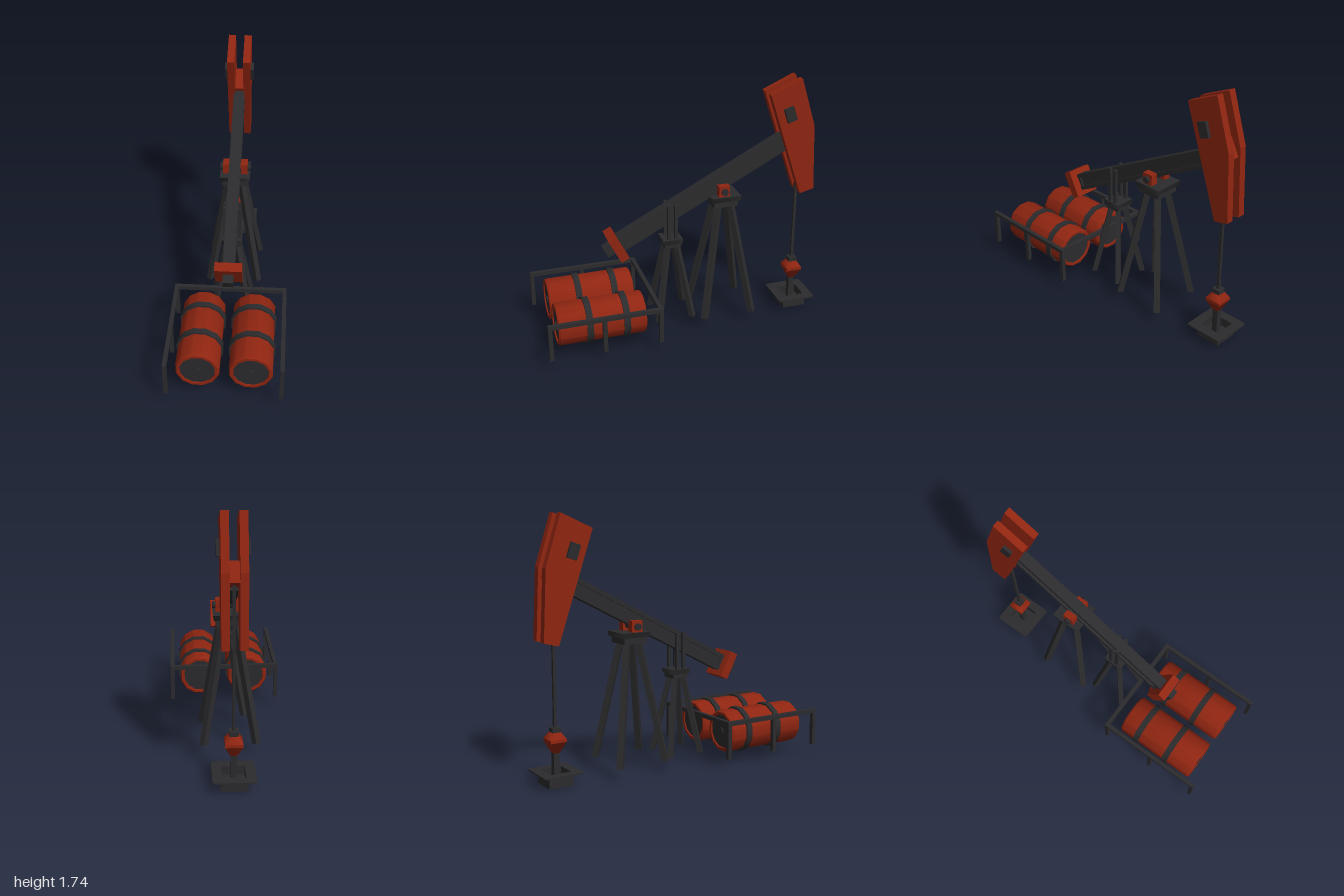
import * as THREE from 'three';
import { toCreasedNormals } from 'three/addons/utils/BufferGeometryUtils.js';

const red = new THREE.MeshStandardMaterial({ color: 0x8f2511 });
const dark = new THREE.MeshStandardMaterial({ color: 0x2b2b2d });

function add(parent, name, geo, mat, x = 0, y = 0, z = 0) {
  const mesh = new THREE.Mesh(geo, mat);
  mesh.name = name;
  mesh.position.set(x, y, z);
  parent.add(mesh);
  return mesh;
}

function group(parent, name, x = 0, y = 0, z = 0) {
  const g = new THREE.Group();
  g.name = name;
  g.position.set(x, y, z);
  parent.add(g);
  return g;
}

const box = (w, h, d) => new THREE.BoxGeometry(w, h, d);

// Square frustum with half widths at top and bottom
function frustum(top, bottom, h) {
  const k = Math.SQRT2;
  return new THREE.CylinderGeometry(top * k, bottom * k, h, 4).rotateY(Math.PI / 4).toNonIndexed();
}

// Post turned 45 degrees and sheared, so that both ends stay level
function leanLeg(x0, z0, x1, z1, y0, y1, w) {
  const geo = box(w, y1 - y0, w).rotateY(Math.PI / 4);
  const p = geo.attributes.position;
  for (let i = 0; i < p.count; i++) {
    const t = p.getY(i) / (y1 - y0) + 0.5;
    p.setXYZ(i, p.getX(i) + x0 + (x1 - x0) * t, p.getY(i) + (y0 + y1) / 2, p.getZ(i) + z0 + (z1 - z0) * t);
  }
  geo.computeVertexNormals();
  return geo;
}

// Four-legged tower with a stepped cap
function tower(parent, name, z, foot, head, capY, w, capHalf, capH) {
  const g = group(parent, name, 0, 0, z);
  for (const sx of [-1, 1]) for (const sz of [-1, 1]) {
    add(g, 'towerLeg', leanLeg(sx * foot, sz * foot, sx * head, sz * head, 0.085, capY, w), dark);
  }
  add(g, 'capLower', box(capHalf * 1.65, capH, capHalf * 1.65), dark, 0, capY + capH / 2, 0);
  add(g, 'capUpper', frustum(capHalf, capHalf * 0.95, 0.035), dark, 0, capY + capH + 0.015, 0);
  return g;
}

function walkingBeam(parent) {
  const g = group(parent, 'walkingBeam', 0, 1.055, -0.298);
  g.rotation.x = THREE.MathUtils.degToRad(27.5);
  const front = 0.81, back = -0.54, len = front - back, mid = (front + back) / 2;
  add(g, 'beamWeb', box(0.045, 0.07, len), dark, 0, 0, mid);
  for (const s of [-1, 1]) add(g, 'beamFlange', box(0.078, 0.028, len), dark, 0, s * 0.044, mid);
  add(g, 'beamEnd', box(0.07, 0.075, 0.14), dark, 0, 0, 0.86);
  add(g, 'counterweight', box(0.18, 0.19, 0.062), red, 0, 0, 0.841);
  add(g, 'headSpacer', box(0.061, 0.13, 0.17), red, 0, 0.025, -0.607);
}

function horseHead(parent) {
  const g = group(parent, 'horseHead');
  const outline = [[-0.614, 1.64], [-0.861, 0.91], [-0.963, 0.936], [-0.941, 1.4], [-0.834, 1.738]];
  const shape = new THREE.Shape(outline.map(([z, y]) => new THREE.Vector2(z, y)));
  for (const s of [-1, 1]) {
    const geo = new THREE.ExtrudeGeometry(shape, { depth: 0.05, bevelEnabled: false });
    geo.rotateY(-Math.PI / 2).translate(0.025, 0, 0);
    add(g, 'headPlate', geo, red, s * 0.055, 0, 0);
    add(g, 'sideBlock', box(0.03, 0.1, 0.068), dark, s * 0.087, 1.5, -0.755).rotation.x = 0.32;
  }
}

function wellhead(parent) {
  const g = group(parent, 'wellhead', 0, 0, -0.863);
  // Flat rim with rounded corners around an open pit
  const o = 0.137, r = 0.02;
  const rim = new THREE.Shape();
  rim.moveTo(-o + r, -o).lineTo(o - r, -o).quadraticCurveTo(o, -o, o, -o + r);
  rim.lineTo(o, o - r).quadraticCurveTo(o, o, o - r, o);
  rim.lineTo(-o + r, o).quadraticCurveTo(-o, o, -o, o - r);
  rim.lineTo(-o, -o + r).quadraticCurveTo(-o, -o, -o + r, -o);
  const i = 0.073;
  rim.holes.push(new THREE.Path([[-i, -i], [-i, i], [i, i], [i, -i]].map(([x, y]) => new THREE.Vector2(x, y))));
  const rimGeo = new THREE.ExtrudeGeometry(rim, { depth: 0.01, bevelEnabled: false, curveSegments: 3 });
  add(g, 'rim', rimGeo.rotateX(-Math.PI / 2), dark, 0, 0.081, 0);
  add(g, 'pitFloor', box(0.165, 0.03, 0.165), dark, 0, 0.015, 0);
  for (let k = 0; k < 4; k++) {
    const side = group(g, 'pitSide');
    side.rotation.y = k * Math.PI / 2;
    add(side, 'pitWall', box(0.17, 0.084, 0.012), dark, 0, 0.042, 0.079);
  }
  add(g, 'pipe', box(0.04, 0.2, 0.04), dark, 0, 0.12, 0);
  add(g, 'valveLower', frustum(0.056, 0.02, 0.075), red, 0, 0.2475, 0);
  add(g, 'valveBand', box(0.112, 0.02, 0.112), red, 0, 0.295, 0);
  add(g, 'valveUpper', frustum(0.024, 0.056, 0.05), red, 0, 0.33, 0);
  add(g, 'valveCap', box(0.058, 0.03, 0.058), dark, 0, 0.362, 0);
  add(g, 'polishedRod', box(0.02, 0.95, 0.02), dark, 0, 0.84, 0);
}

// Turned part lying along z, twelve sided
function turned(profile) {
  const geo = new THREE.LatheGeometry(profile.map(([r, y]) => new THREE.Vector2(r, y)), 12, Math.PI / 12);
  return toCreasedNormals(geo.rotateX(Math.PI / 2), 0.7);
}

function drum(parent, x) {
  const g = group(parent, 'drum', x, 0.226, 0.62);
  const h = 0.3;
  add(g, 'drumBody', turned([
    [0, -h + 0.015], [0.118, -h + 0.015], [0.12, -h], [0.138, -h], [0.147, -h + 0.012],
    [0.147, h - 0.012], [0.138, h], [0.12, h], [0.118, h - 0.015], [0, h - 0.015],
  ]), red);
  for (const z of [-0.162, 0.09]) {
    add(g, 'drumBand', turned([[0.14, z - 0.021], [0.159, z - 0.021], [0.159, z + 0.021], [0.14, z + 0.021]]), dark);
  }
  for (const s of [-1, 1]) {
    add(g, 'drumLid', turned([[0, -0.004], [0.117, -0.004], [0.117, 0.004], [0, 0.004]]), dark, 0, 0, s * (h - 0.012));
    add(g, 'drumBung', turned([[0, -0.006], [0.023, -0.006], [0.023, 0.006], [0, 0.006]]), dark, 0, 0, s * (h - 0.005));
  }
}

function railing(parent) {
  const g = group(parent, 'railing');
  const t = 0.028;
  for (const s of [-1, 1]) {
    add(g, 'sideRail', box(t, t, 0.772), dark, s * 0.376, 0.329, 0.614);
    for (const z of [0.986, 0.625, 0.242]) add(g, 'railPost', box(t, 0.245, t), dark, s * 0.376, 0.2075, z);
  }
  add(g, 'backRail', box(0.752, t, t), dark, 0, 0.329, 0.242);
}

export function createModel() {
  const model = new THREE.Group();
  model.name = 'pumpjack';

  // Main tower with the pivot bearings
  const main = tower(model, 'mainTower', -0.311, 0.174, 0.045, 0.88, 0.042, 0.105, 0.045);
  for (const s of [-1, 1]) add(main, 'bearingBlock', box(0.05, 0.078, 0.078), red, s * 0.061, 0.994, 0.013);
  const axle = new THREE.CylinderGeometry(0.024, 0.024, 0.21, 8).rotateZ(Math.PI / 2);
  add(main, 'axle', toCreasedNormals(axle, 0.9), dark, 0, 0.994, 0.013);

  // Smaller tower with uprights beside the beam
  const small = tower(model, 'supportTower', 0.061, 0.121, 0.033, 0.61, 0.036, 0.07, 0.03);
  for (const sx of [-1, 1]) for (const sz of [-1, 1]) {
    add(small, 'upright', box(0.022, 0.27, 0.022), dark, sx * 0.05, 0.79, sz * 0.025);
  }

  walkingBeam(model);
  horseHead(model);
  wellhead(model);
  for (const s of [-1, 1]) drum(model, s * 0.174);
  railing(model);
  return model;
}
